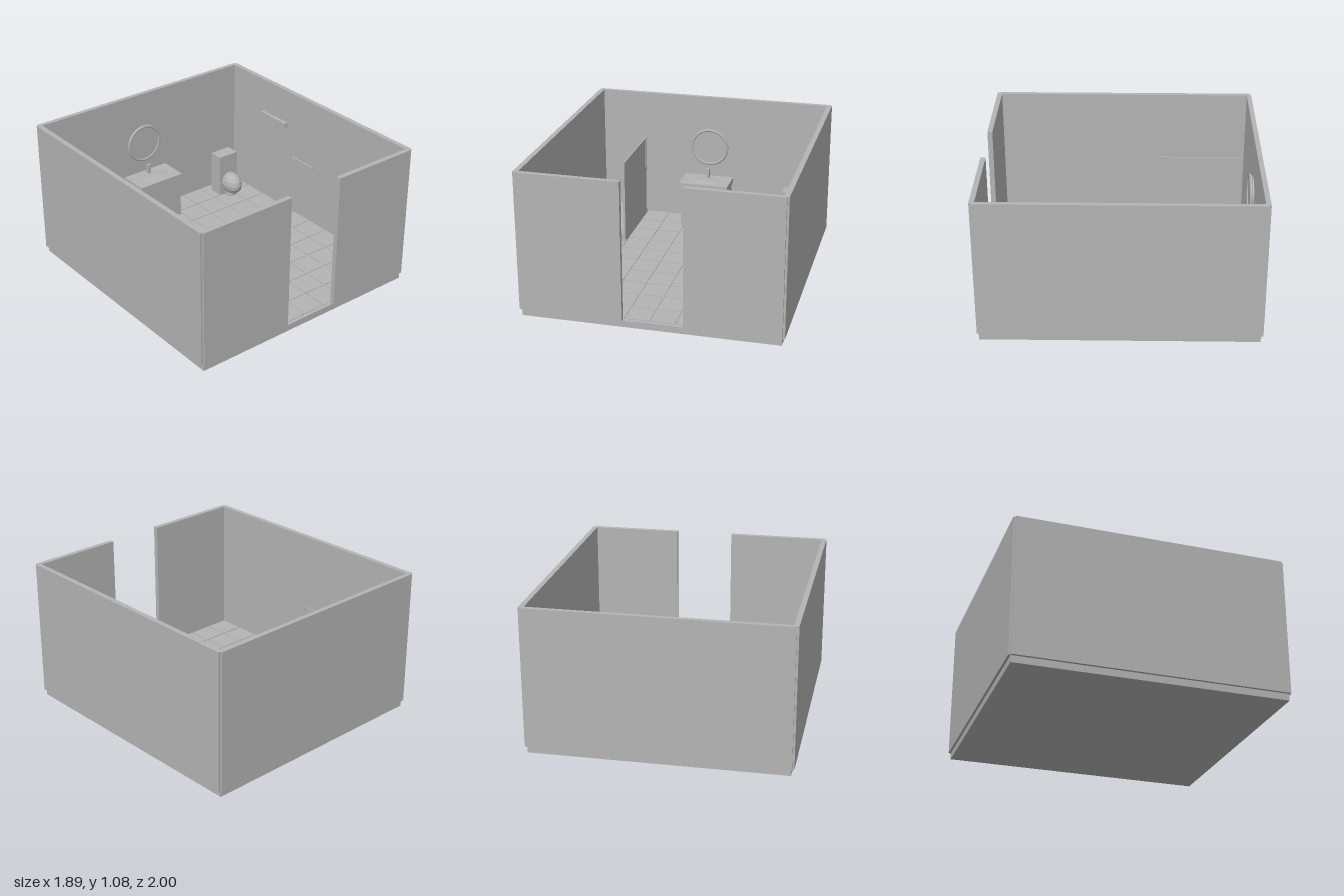
import * as THREE from 'three';

export function createModel() {
  const root = new THREE.Group();
  root.name = 'bathroom';
  const grey = new THREE.MeshStandardMaterial({ color: 0xb4b4b4 });
  grey.name = 'plain grey';

  const add = (name, geo, x = 0, y = 0, z = 0, parent = root) => {
    const m = new THREE.Mesh(geo, grey);
    m.name = name;
    m.position.set(x, y, z);
    parent.add(m);
    return m;
  };
  // Box given by its limits on each axis
  const box = (name, [x0, x1], [y0, y1], [z0, z1], parent) =>
    add(name, new THREE.BoxGeometry(x1 - x0, y1 - y0, z1 - z0),
      (x0 + x1) / 2, (y0 + y1) / 2, (z0 + z1) / 2, parent);
  const group = (name) => {
    const g = new THREE.Group();
    g.name = name;
    root.add(g);
    return g;
  };

  // Floor slab and walls with a door opening in front
  box('floorSlab', [-0.927, 0.925], [0, 0.05], [-0.983, 0.983]);
  const tall = [0.05, 1.08];
  box('rightWall', [-0.947, -0.91], tall, [-0.985, 0.982]);
  box('leftWall', [0.908, 0.945], tall, [-0.985, 0.982]);
  box('backWall', [-0.932, 0.93], tall, [-1, -0.965]);
  box('frontWallRight', [-0.932, -0.193], tall, [0.96, 0.997]);
  box('frontWallLeft', [0.243, 0.93], tall, [0.96, 0.997]);

  // Floor tiles with narrow joints
  const tiles = group('floorTiles');
  const n = 10, stepX = 1.818 / n, stepZ = 1.925 / n, joint = 0.008;
  const tile = new THREE.BoxGeometry(stepX - joint, 0.005, stepZ - joint);
  for (let i = 0; i < n; i++) {
    for (let j = 0; j < n; j++) {
      add('tile', tile, -0.91 + (i + 0.5) * stepX, 0.0525, -0.965 + (j + 0.5) * stepZ, tiles);
    }
  }

  // Shower: tray, screen and two end posts
  const shower = group('shower');
  box('showerTray', [-0.905, -0.56], [0.05, 0.115], [-0.92, -0.3], shower);
  box('showerScreen', [-0.56, -0.551], [0.05, 0.71], [-0.92, -0.3], shower);
  for (const z of [-0.915, -0.303]) {
    box('screenPost', [-0.563, -0.547], [0.05, 0.715], [z - 0.008, z + 0.008], shower);
  }

  // Vanity with shallow basin and tap
  const vanity = group('vanity');
  box('cabinet', [-0.208, 0.163], [0.05, 0.38], [-0.938, -0.725], vanity);
  box('countertop', [-0.22, 0.175], [0.38, 0.425], [-0.945, -0.715], vanity);
  add('basin', new THREE.SphereGeometry(1, 32, 16), -0.025, 0.424, -0.815, vanity)
    .scale.set(0.12, 0.008, 0.065);
  box('tap', [-0.035, -0.01], [0.425, 0.5], [-0.905, -0.88], vanity);

  // Round mirror with a frame
  const mirror = group('mirror');
  mirror.position.set(-0.022, 0.668, -0.945);
  add('mirrorFrame', new THREE.TorusGeometry(0.142, 0.012, 8, 32), 0, 0, 0, mirror);
  const glass = new THREE.CylinderGeometry(0.138, 0.138, 0.024, 32);
  glass.rotateX(Math.PI / 2);
  add('mirrorGlass', glass, 0, 0, -0.008, mirror);

  // Toilet: cistern, rounded bowl and foot
  const toilet = group('toilet');
  box('cistern', [0.608, 0.785], [0.05, 0.4], [-0.89, -0.777], toilet);
  const bowl = new THREE.SphereGeometry(1, 16, 8).toNonIndexed();
  bowl.scale(0.075, 0.09, 0.105);
  bowl.computeVertexNormals();
  add('bowl', bowl, 0.696, 0.16, -0.735, toilet);
  add('toiletFoot', new THREE.CylinderGeometry(0.045, 0.05, 0.08, 16), 0.696, 0.09, -0.745, toilet);

  // Wall shelf and towel rail on the left wall
  box('wallShelf', [0.878, 0.908], [0.77, 0.81], [-0.588, -0.3]);
  const rail = group('towelRail');
  const bar = new THREE.CylinderGeometry(0.006, 0.006, 0.24, 12);
  bar.rotateX(Math.PI / 2);
  add('railBar', bar, 0.89, 0.545, -0.09, rail);
  for (const z of [-0.2, 0.02]) {
    box('railBracket', [0.888, 0.908], [0.535, 0.555], [z - 0.006, z + 0.006], rail);
  }

  return root;
}
